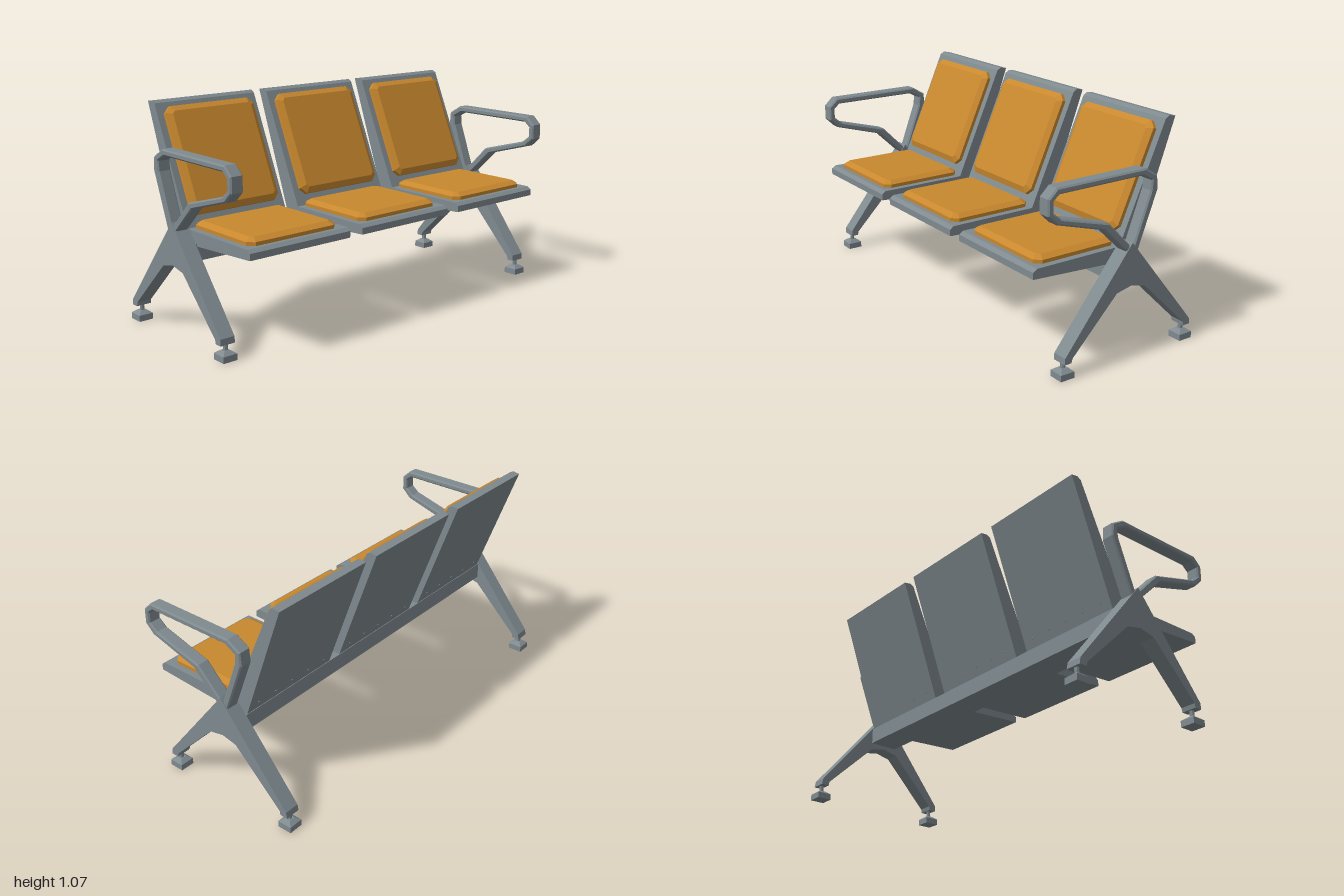
import * as THREE from 'three';

const steel = new THREE.MeshStandardMaterial({ color: 0x7f8a8f, flatShading: true });
steel.name = 'grey steel';
const padding = new THREE.MeshStandardMaterial({ color: 0xc8882e, flatShading: true });
padding.name = 'amber upholstery';

function add(parent, name, geometry, material, x = 0, y = 0, z = 0) {
  const mesh = new THREE.Mesh(geometry, material);
  mesh.name = name;
  mesh.position.set(x, y, z);
  parent.add(mesh);
  return mesh;
}

// Side profile given as [z, y] points, extruded across x and centred on x = 0
function sideProfile(points, width, chamfer = 0) {
  const shape = new THREE.Shape(points.map(([z, y]) => new THREE.Vector2(z, y)));
  const depth = width - 2 * chamfer;
  const geometry = new THREE.ExtrudeGeometry(shape, {
    depth, bevelEnabled: chamfer > 0, bevelSegments: 1,
    bevelThickness: chamfer, bevelSize: chamfer, bevelOffset: -chamfer,
  });
  return geometry.translate(0, 0, -depth / 2).rotateY(-Math.PI / 2);
}

// Padded slab with cut corners and bevelled rim, facing +z, base at z = 0
function cushion(width, height) {
  const w = width / 2, h = height / 2, c = 0.03;
  const shape = new THREE.Shape([
    [-w + c, -h], [w - c, -h], [w, -h + c], [w, h - c],
    [w - c, h], [-w + c, h], [-w, h - c], [-w, -h + c],
  ].map(([x, y]) => new THREE.Vector2(x, y)));
  return new THREE.ExtrudeGeometry(shape, {
    depth: 0.018, bevelSegments: 1, bevelThickness: 0.017, bevelSize: 0.028, bevelOffset: -0.028,
  });
}

const seatProfile = [
  [-0.10, 0.444], [0.045, 0.444], [0.432, 0.466], [0.432, 0.497], [0.412, 0.511], [-0.06, 0.511],
];
const backProfile = [
  [-0.116, 0.455], [-0.04, 0.455], [-0.04, 0.511], [-0.282, 1.053], [-0.302, 1.065], [-0.338, 1.059],
];
const legProfile = [
  [-0.04, 0.555], [-0.41, 0.105], [-0.415, 0.075], [-0.375, 0.075], [-0.372, 0.095], [-0.12, 0.338],
  [-0.04, 0.355], [0.04, 0.338], [0.28, 0.095], [0.285, 0.075], [0.322, 0.075], [0.32, 0.105],
];
const armProfile = [
  // outer edge
  [-0.03, 0.50], [0.12, 0.643], [0.373, 0.717], [0.42, 0.762], [0.42, 0.835], [0.375, 0.877],
  [-0.105, 0.877], [-0.175, 0.835], [-0.18, 0.77], [-0.075, 0.50],
  // inner edge
  [-0.045, 0.52], [-0.139, 0.77], [-0.143, 0.817], [-0.09, 0.847], [0.36, 0.847],
  [0.39, 0.822], [0.39, 0.772], [0.35, 0.74], [0.092, 0.668], [-0.035, 0.54],
];

function createSeat() {
  const seat = new THREE.Group();
  seat.name = 'seat';
  add(seat, 'seatPan', sideProfile(seatProfile, 0.56), steel);
  add(seat, 'backPanel', sideProfile(backProfile, 0.56), steel);

  const seatCushion = add(seat, 'seatCushion', cushion(0.495, 0.44), padding, 0, 0.51, 0.17);
  seatCushion.rotation.x = -Math.PI / 2;
  const backCushion = add(seat, 'backCushion', cushion(0.495, 0.515), padding, 0, 0.795, -0.166);
  backCushion.rotation.x = -Math.atan(0.449);

  // Small fixings along the foot of the back
  for (let i = -2; i <= 2; i++) {
    const screw = add(seat, 'screw', new THREE.CylinderGeometry(0.004, 0.004, 0.006, 6),
      steel, i * 0.11, 0.50, -0.133);
    screw.rotation.x = Math.PI / 2 - 0.352;
  }
  return seat;
}

function createFoot(z) {
  const foot = new THREE.Group();
  foot.name = 'foot';
  add(foot, 'pad', new THREE.BoxGeometry(0.073, 0.03, 0.073), steel, 0, 0.015, 0);
  const collar = new THREE.CylinderGeometry(0.015 * Math.SQRT2, 0.0365 * Math.SQRT2, 0.016, 4);
  add(foot, 'collar', collar.rotateY(Math.PI / 4), steel, 0, 0.038, 0);
  add(foot, 'stem', new THREE.CylinderGeometry(0.011, 0.011, 0.04, 8), steel, 0, 0.062, 0);
  foot.position.z = z;
  return foot;
}

function createEndFrame(x) {
  const frame = new THREE.Group();
  frame.name = 'endFrame';
  add(frame, 'legs', sideProfile(legProfile, 0.075), steel);
  add(frame, 'armrest', sideProfile(armProfile, 0.066, 0.007), steel);
  frame.add(createFoot(0.303), createFoot(-0.395));
  frame.position.x = x;
  return frame;
}

export function createModel() {
  const bench = new THREE.Group();
  bench.name = 'bench';

  // Beam carrying the row of seats
  add(bench, 'beam', new THREE.BoxGeometry(1.86, 0.082, 0.15), steel, 0, 0.416, -0.045);

  for (const x of [-0.635, 0, 0.635]) {
    const seat = createSeat();
    seat.position.x = x;
    bench.add(seat);
  }
  for (const side of [-1, 1]) bench.add(createEndFrame(side * 0.9625));
  return bench;
}
